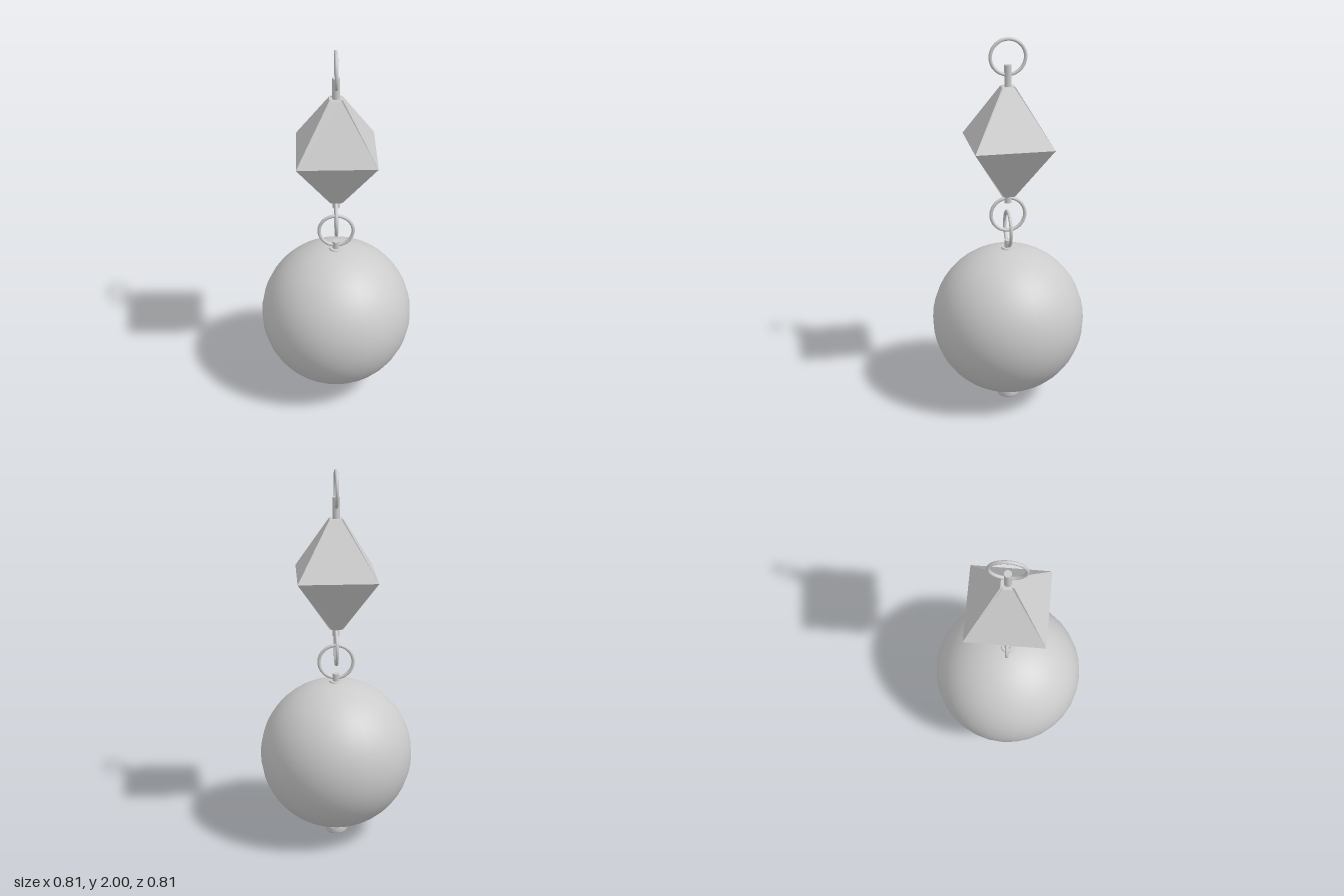
import * as THREE from 'three';

const mat = new THREE.MeshStandardMaterial({ color: 0xcccccc });
const flatMat = new THREE.MeshStandardMaterial({ color: 0xcccccc, flatShading: true, side: THREE.DoubleSide });

function add(group, name, geometry, y, material = mat) {
  const mesh = new THREE.Mesh(geometry, material);
  mesh.name = name;
  mesh.position.y = y;
  group.add(mesh);
  return mesh;
}

// Square bipyramid with grooves along its sloping edges that fade out at the girdle
function gemGeometry(half, height, tip, notch) {
  const section = (h, n) => {
    const pts = [];
    for (let k = 0; k < 4; k++) {
      const a = k * Math.PI / 2, c = Math.cos(a), s = Math.sin(a);
      for (const [x, z] of [[h, -n[0]], [h, n[0]], [n[1], n[1]]]) pts.push([x * c - z * s, x * s + z * c]);
    }
    return pts;
  };
  const end = section(tip, notch);
  const girdle = section(half, [half, half]);
  const levels = [[-height, end], [0, girdle], [height, end]];
  const pos = [], idx = [];
  for (const [y, pts] of levels) for (const [x, z] of pts) pos.push(x, y, z);
  const n = end.length;
  for (let l = 0; l < 2; l++) for (let i = 0; i < n; i++) {
    const a = l * n + i, b = l * n + (i + 1) % n;
    idx.push(a, a + n, b, b, a + n, b + n);
  }
  // end caps
  pos.push(0, -height, 0, 0, height, 0);
  for (let i = 0; i < n; i++) {
    const j = (i + 1) % n;
    idx.push(3 * n, i, j, 3 * n + 1, 2 * n + j, 2 * n + i);
  }
  const g = new THREE.BufferGeometry();
  g.setAttribute('position', new THREE.Float32BufferAttribute(pos, 3));
  g.setIndex(idx);
  const flat = g.toNonIndexed();
  flat.computeVertexNormals();
  return flat;
}

export function createModel() {
  const model = new THREE.Group();
  model.name = 'dropPendant';

  // Linked rings, the lowest turned a quarter
  for (const [name, y, turn] of [['topRing', 1.9, 1], ['middleRing', 1.065, 1], ['lowerRing', 0.985, 0]]) {
    add(model, name, new THREE.TorusGeometry(0.09, 0.009, 12, 40), y).rotation.y = turn * Math.PI / 2;
  }

  // Faceted bead
  add(model, 'facetedBead', gemGeometry(0.203, 0.29, 0.034, [0.026, 0.018]), 1.46, flatMat);

  // Pegs that hold the rings
  const pegs = [['topPeg', 1.73, 1.86], ['lowerPeg', 1.13, 1.19], ['ballPeg', 0.86, 0.92]];
  for (const [name, y0, y1] of pegs) {
    add(model, name, new THREE.CylinderGeometry(0.019, 0.019, y1 - y0, 16), (y0 + y1) / 2);
  }

  // Ball with its collar
  add(model, 'ball', new THREE.SphereGeometry(0.406, 32, 24), 0.469);
  add(model, 'ballCollar', new THREE.CylinderGeometry(0.034, 0.04, 0.014, 20), 0.873);

  // Neck and end button
  add(model, 'buttonNeck', new THREE.CylinderGeometry(0.02, 0.02, 0.05, 16), 0.06);
  const profile = [[0, 0], [0.045, 0], [0.055, 0.003], [0.06, 0.011], [0.061, 0.036], [0.058, 0.043], [0.05, 0.046], [0, 0.046]];
  add(model, 'endButton', new THREE.LatheGeometry(profile.map(p => new THREE.Vector2(...p)), 24), 0);

  return model;
}
